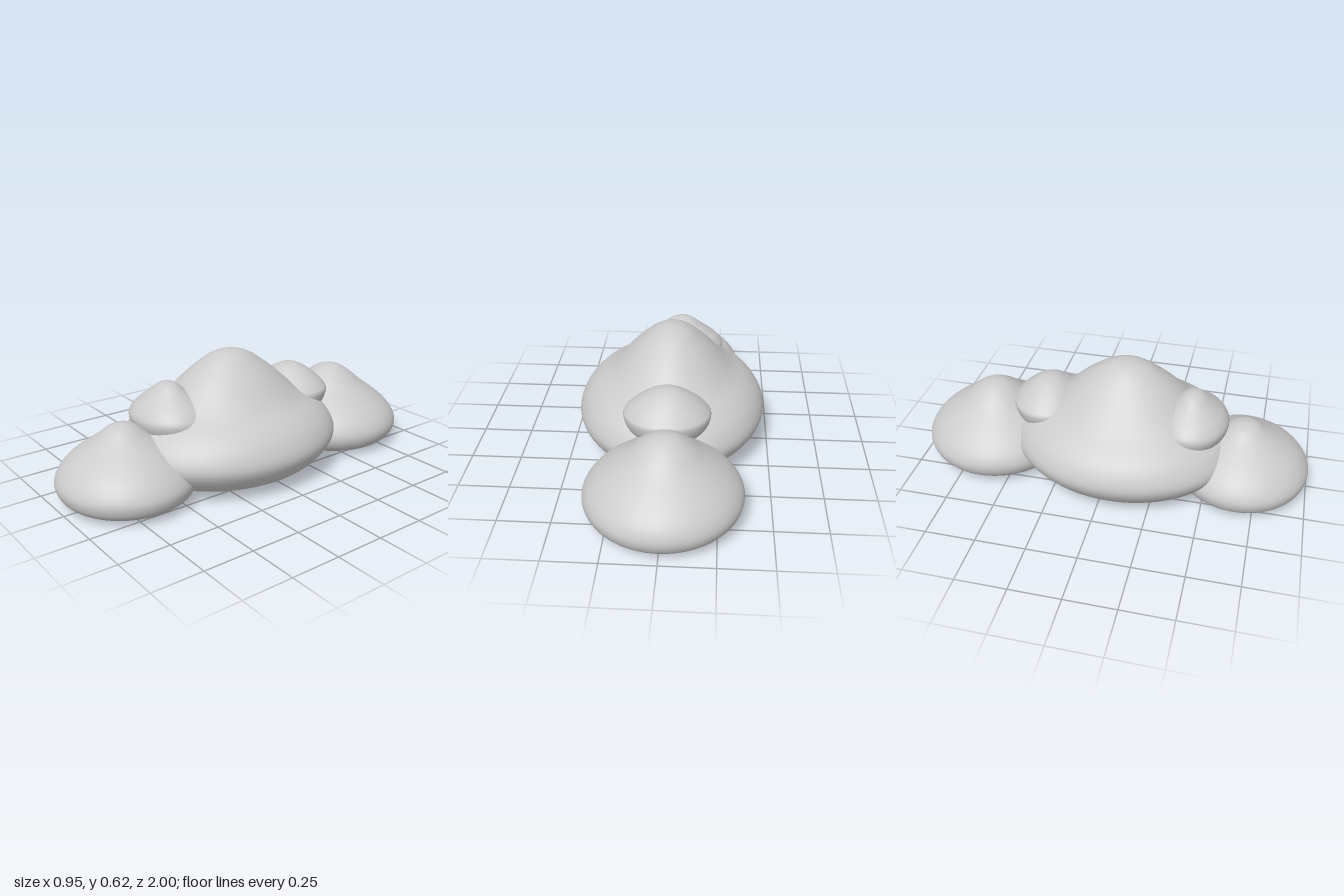
import * as THREE from 'three';

// Smooth rounded mound: profile of [radius, height] from underside to peak,
// turned round y, stretched along z, with the peak leaning sideways.
function mound(name, profile, { x = 0, z = 0, depth = 1, lean = 0 }) {
  const curve = new THREE.SplineCurve(profile.map(([r, y]) => new THREE.Vector2(r, y)));
  const low = profile[0][1];
  const high = profile[profile.length - 1][1];
  const points = curve.getPoints(72).map(p => new THREE.Vector2(Math.max(p.x, 0), Math.max(p.y, low)));
  const geometry = new THREE.LatheGeometry(points, 96);
  geometry.scale(1, 1, depth);
  const pos = geometry.attributes.position;
  for (let i = 0; i < pos.count; i++) {
    const t = (pos.getY(i) - low) / (high - low);
    pos.setX(i, pos.getX(i) + lean * t * t);
  }
  const mesh = new THREE.Mesh(geometry, new THREE.MeshStandardMaterial({ color: 0xcccccc }));
  mesh.name = name;
  mesh.position.set(x, 0, z);
  return mesh;
}

export function createModel() {
  const group = new THREE.Group();
  group.name = 'moundCluster';

  // Large oval body in the middle
  group.add(mound('mainMound', [
    [0, 0.005], [0.16, 0.006], [0.29, 0.018], [0.39, 0.052], [0.45, 0.115], [0.475, 0.18],
    [0.453, 0.25], [0.4, 0.315], [0.3, 0.393], [0.2, 0.5], [0.15, 0.548], [0.1, 0.59],
    [0.05, 0.615], [0, 0.622],
  ], { z: 0.065, depth: 1.22 }));

  // Low mounds at the two ends
  group.add(mound('frontMound', [
    [0, 0.01], [0.15, 0.01], [0.265, 0.016], [0.32, 0.045], [0.34, 0.095], [0.328, 0.14],
    [0.29, 0.19], [0.24, 0.232], [0.18, 0.272], [0.12, 0.312], [0.06, 0.355], [0, 0.371],
  ], { x: -0.005, z: 0.667, depth: 0.98, lean: -0.02 }));
  group.add(mound('backMound', [
    [0, 0], [0.16, 0.001], [0.28, 0.01], [0.345, 0.045], [0.37, 0.1], [0.355, 0.155],
    [0.31, 0.21], [0.25, 0.26], [0.18, 0.312], [0.12, 0.363], [0.06, 0.402], [0, 0.415],
  ], { z: -0.63, lean: -0.01 }));

  // Small bumps set into the body's slopes
  group.add(mound('frontBump', [
    [0, 0.22], [0.12, 0.235], [0.195, 0.29], [0.22, 0.35], [0.195, 0.395], [0.15, 0.432],
    [0.1, 0.468], [0.05, 0.503], [0, 0.515],
  ], { x: -0.035, z: 0.405, depth: 0.82 }));
  group.add(mound('backBump', [
    [0, 0.2], [0.12, 0.22], [0.185, 0.28], [0.208, 0.345], [0.19, 0.378], [0.15, 0.413],
    [0.1, 0.448], [0.05, 0.472], [0, 0.481],
  ], { z: -0.335, depth: 0.88 }));

  return group;
}
